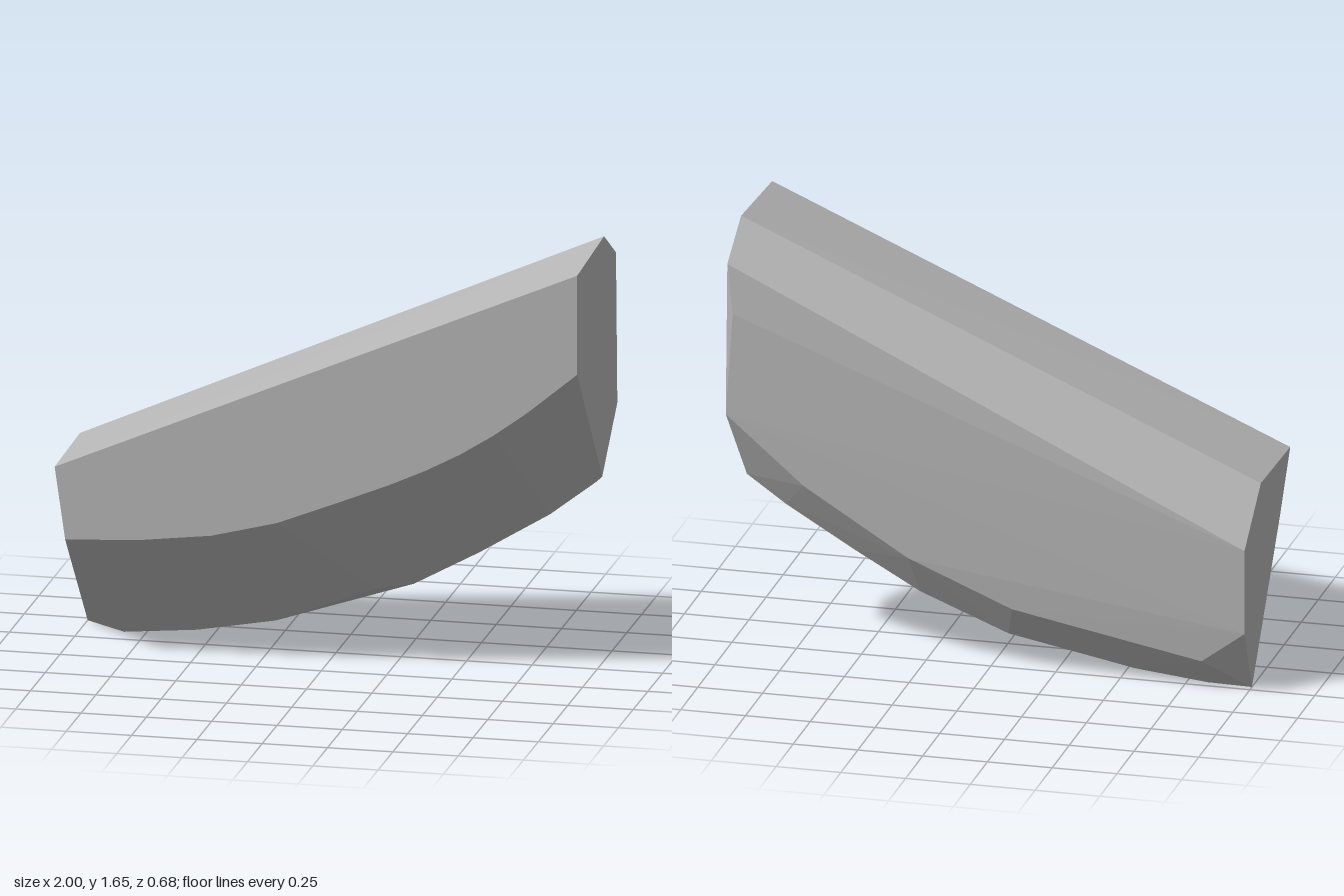
import * as THREE from 'three';
import { ConvexGeometry } from 'three/addons/geometries/ConvexGeometry.js';

// Points [x, y] along one edge line; z is shared unless given as a third value
const line = (z, pts) => pts.map(([x, y, pz = z]) => new THREE.Vector3(x, y, pz));

export function createModel() {
  const group = new THREE.Group();
  group.name = 'facetedBlock';
  const grey = new THREE.MeshStandardMaterial({ color: 0xb6b6b6 });
  grey.name = 'grey';

  // Straight sloping edges of the top: front, ridge and back
  const topEdges = [
    ...line(0.34, [[-1, 0.755], [1, 1.625]]),
    ...line(0, [[-1, 0.765, -0.09], [1, 1.65, -0.115]]),
    ...line(0, [[-1, 0.58, -0.33], [1, 1.53, -0.317], [0.975, 1.34, -0.335]]),
  ];

  // Curved lower edge of the flat front face
  const frontEdge = line(0.34, [
    [-0.96, 0.475], [-0.68, 0.49], [-0.4, 0.525], [-0.15, 0.59], [0.05, 0.67], [0.28, 0.765],
    [0.42, 0.83], [0.55, 0.9], [0.68, 0.983], [0.81, 1.08], [1, 1.24],
  ]);

  // Underside: front chine, keel and back chine
  const frontChine = line(-0.085, [
    [-0.83, 0.004], [-0.55, 0.03], [-0.25, 0.085], [0.14, 0.25, -0.03],
    [0.28, 0.262], [0.53, 0.4], [0.8, 0.565], [1, 0.725],
  ]);
  const keel = line(-0.22, [
    [-1, 0], [-0.83, 0.003], [-0.55, 0.032], [-0.06, 0.125], [0.28, 0.26], [0.53, 0.4],
    [0.8, 0.56], [0.95, 0.665],
  ]);
  const backChine = line(-0.33, [
    [-1, 0.25], [-0.83, 0.12, -0.315], [-0.1, 0.26, -0.32], [0.3, 0.43], [0.7, 0.68, -0.335],
    [1, 0.94, -0.34],
  ]);

  // Closed, flat-faceted solid stretched over all the edge lines
  const body = new THREE.Mesh(
    new ConvexGeometry([...topEdges, ...frontEdge, ...frontChine, ...keel, ...backChine]),
    grey
  );
  body.name = 'body';
  group.add(body);
  return group;
}
